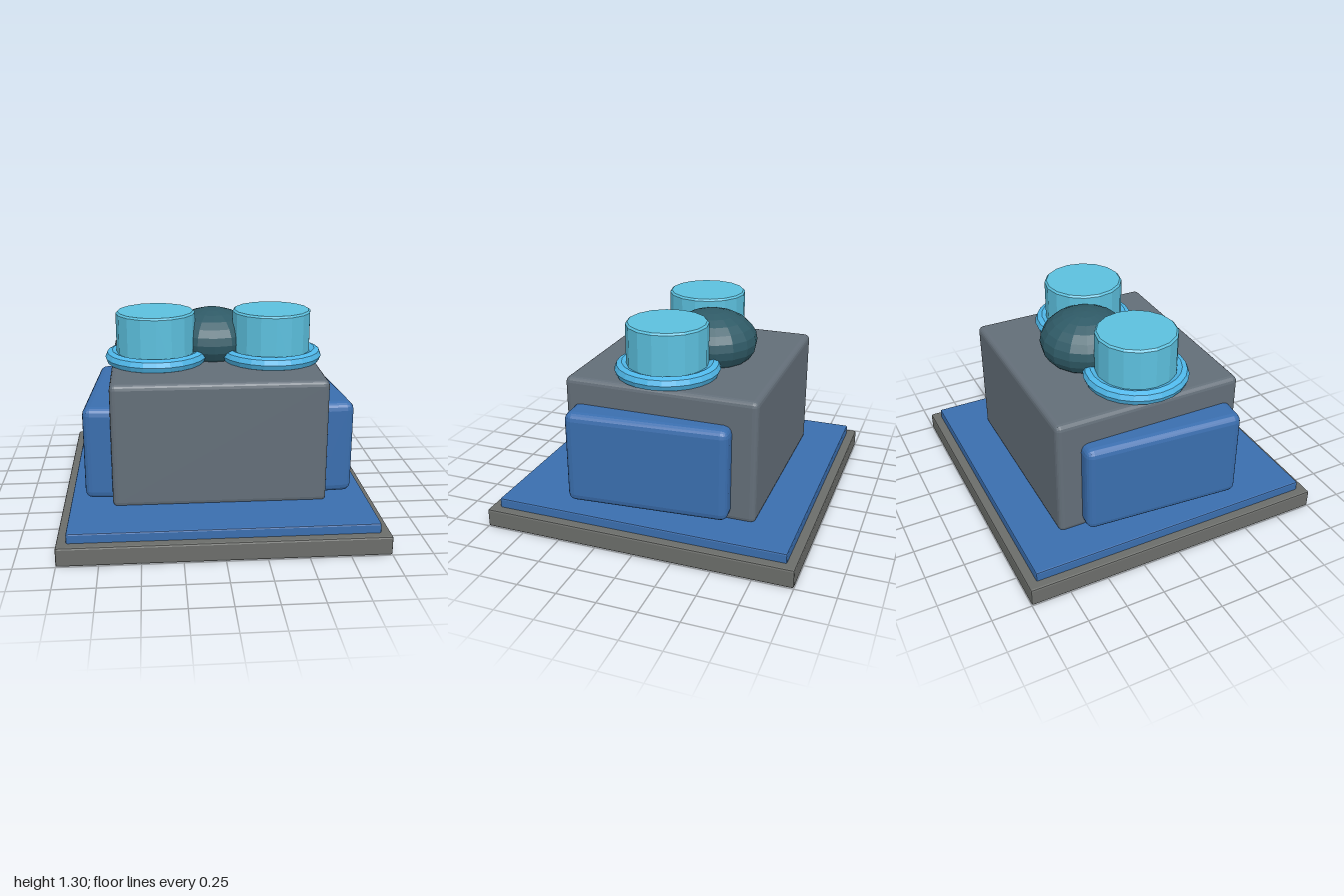
import * as THREE from 'three';
import { RoundedBoxGeometry } from 'three/addons/geometries/RoundedBoxGeometry.js';

const material = (color) => new THREE.MeshStandardMaterial({ color, flatShading: true });

function add(parent, name, geometry, mat, x, y, z) {
  const mesh = new THREE.Mesh(geometry, mat);
  mesh.name = name;
  mesh.position.set(x, y, z);
  parent.add(mesh);
  return mesh;
}

export function createModel() {
  const model = new THREE.Group();
  model.name = 'model';
  const stone = material(0x6b6d6a);
  const blue = material(0x3a6eae);
  const grey = material(0x636e78);
  const cyan = material(0x5cc0de);
  const sky = material(0x4fb8ea);
  const teal = material(0x2f5a66);

  // Stepped square base
  add(model, 'base', new RoundedBoxGeometry(2, 0.12, 2, 1, 0.012), stone, 0, 0.06, 0);
  add(model, 'basePlate', new RoundedBoxGeometry(1.88, 0.08, 1.88, 1, 0.01), blue, 0, 0.14, 0);

  // Main block, set slightly back
  add(model, 'body', new RoundedBoxGeometry(1.35, 0.8, 1.24, 2, 0.035), grey, 0, 0.565, -0.05);

  // Domed centre between the knobs
  add(model, 'dome', new THREE.SphereGeometry(0.295, 16, 12), teal, 0, 1.08, -0.165)
    .scale.y = 0.68;

  // Knob: cylinder with a small bevelled top edge
  const knobProfile = [[0, 0.96], [0.258, 0.96], [0.258, 1.288], [0.246, 1.3], [0, 1.3]]
    .map(([r, y]) => new THREE.Vector2(r, y));
  const knobGeometry = new THREE.LatheGeometry(knobProfile, 16);
  const collarGeometry = new THREE.TorusGeometry(0.287, 0.046, 8, 24).rotateX(Math.PI / 2);
  const podGeometry = new RoundedBoxGeometry(0.26, 0.6, 1.03, 2, 0.05);

  for (const [side, s] of [['left', 1], ['right', -1]]) {
    // Side panel, splayed outward at the front
    add(model, side + 'Panel', podGeometry, blue, s * 0.684, 0.5, 0)
      .rotation.y = s * 0.075;
    // Knob with its collar
    const knob = new THREE.Group();
    knob.name = side + 'Knob';
    knob.position.x = s * 0.382;
    add(knob, side + 'Cap', knobGeometry, cyan, 0, 0, 0);
    add(knob, side + 'Collar', collarGeometry, sky, 0, 1, 0);
    model.add(knob);
  }
  return model;
}
